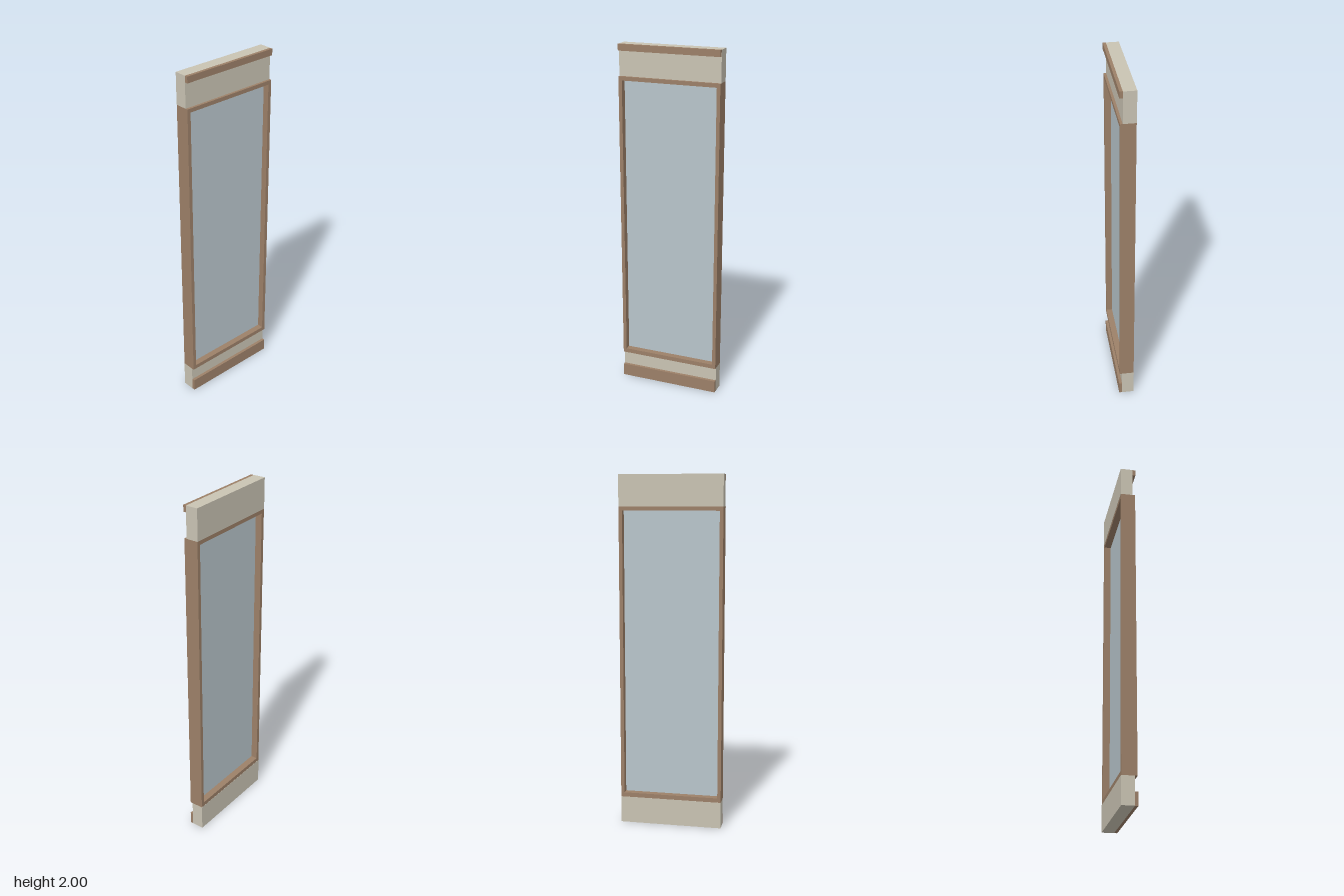
import * as THREE from 'three';

export function createModel() {
  const group = new THREE.Group();
  const paint = (name, color) => {
    const m = new THREE.MeshStandardMaterial({ color });
    m.name = name;
    return m;
  };
  const plaster = paint('plaster', 0xc9c3b3);
  const wood = paint('wood', 0x9c8068);
  const glass = paint('glass', 0xb8c5cb);

  // Box given by its extents on each axis
  const block = (name, material, [x0, x1], [y0, y1], [z0, z1]) => {
    const mesh = new THREE.Mesh(new THREE.BoxGeometry(x1 - x0, y1 - y0, z1 - z0), material);
    mesh.position.set((x0 + x1) / 2, (y0 + y1) / 2, (z0 + z1) / 2);
    mesh.name = name;
    group.add(mesh);
  };

  const half = 0.293, inner = 0.273;
  const full = [-half, half], opening = [-inner, inner];
  const wallZ = [-0.044, 0.026], frameZ = [-0.043, 0.04], trimZ = [0.026, 0.043];
  const sillY = 0.153, headY = 1.825;

  // Wall below and above the window
  block('lowerWall', plaster, full, [0, sillY], wallZ);
  block('upperWall', plaster, full, [headY, 2], wallZ);

  // Skirting and cornice strips on the front
  block('baseboard', wood, [-0.292, 0.292], [0, 0.072], trimZ);
  block('cornice', wood, [-0.292, 0.292], [1.964, 2], trimZ);

  // Window frame
  block('leftJamb', wood, [inner, half], [sillY, headY], frameZ);
  block('rightJamb', wood, [-half, -inner], [sillY, headY], frameZ);
  block('sill', wood, opening, [sillY, 0.178], frameZ);
  block('head', wood, opening, [1.803, headY], frameZ);

  // Pane set halfway into the frame
  block('pane', glass, opening, [0.178, 1.803], [-0.004, 0.004]);

  return group;
}
